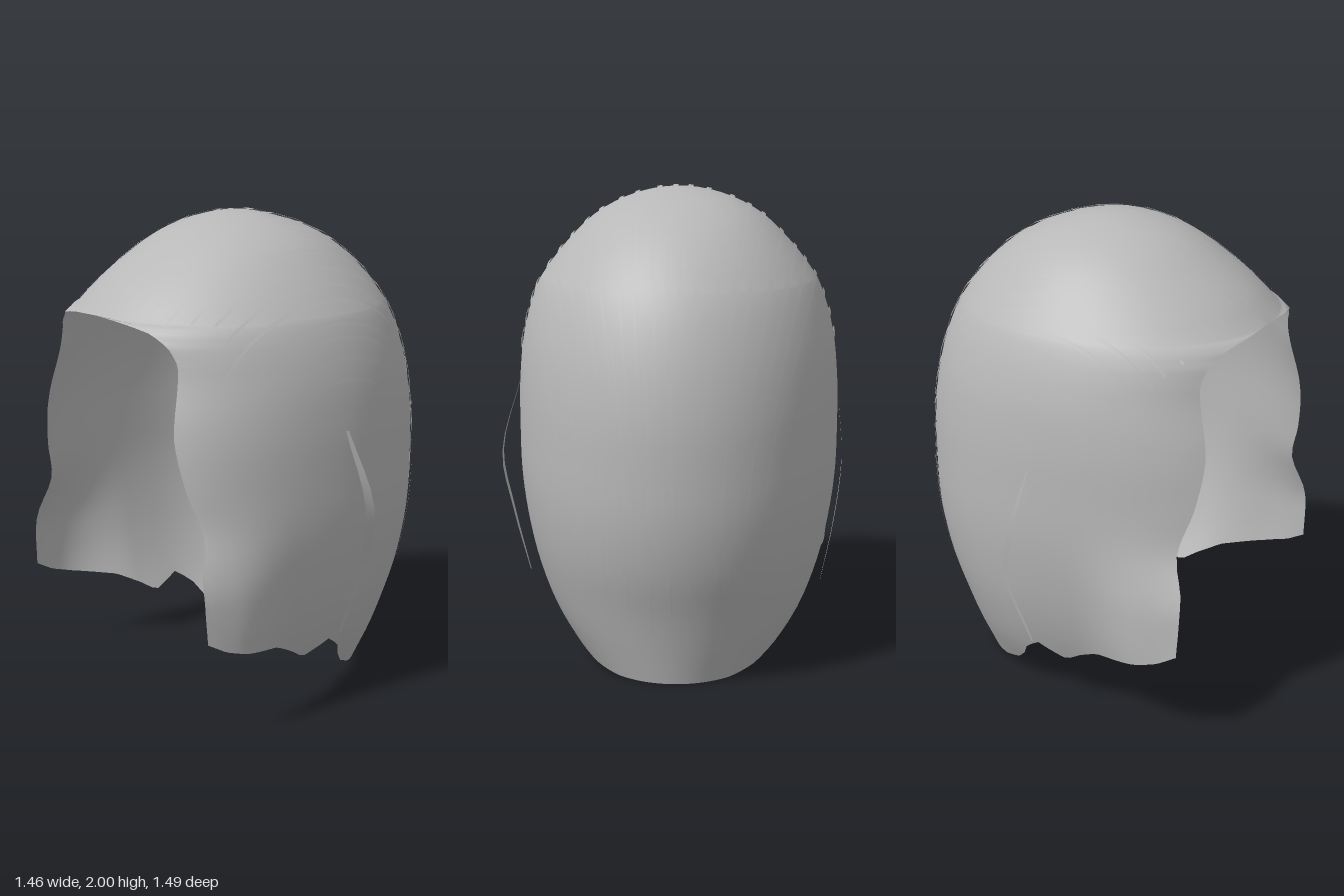
import * as THREE from 'three';

const CX = -0.03, ZC = 0.04;

// Interpolates a [height, value] table; the smooth form works in sqrt(depth below crown)
const depth = y => Math.sqrt(Math.max(0, 2 - y));
function linear(tab, y) {
  if (y >= tab[0][0]) return tab[0][1];
  for (let i = 1; i < tab.length; i++) {
    const [y0, a] = tab[i - 1], [y1, b] = tab[i];
    if (y >= y1) return a + (b - a) * (y0 - y) / (y0 - y1);
  }
  return tab[tab.length - 1][1];
}
function smooth(tab, y) {
  const n = tab.length, s = depth(y), S = i => depth(tab[i][0]), V = i => tab[i][1];
  let i = 0;
  while (i < n - 2 && s > S(i + 1)) i++;
  const slope = k => {
    const a = Math.max(0, k - 1), b = Math.min(n - 1, k + 1);
    return (V(b) - V(a)) / (S(b) - S(a));
  };
  const h = S(i + 1) - S(i), t = Math.min(1, (s - S(i)) / h), t2 = t * t, t3 = t2 * t;
  return (2 * t3 - 3 * t2 + 1) * V(i) + (t3 - 2 * t2 + t) * h * slope(i)
    + (3 * t2 - 2 * t3) * V(i + 1) + (t3 - t2) * h * slope(i + 1);
}

// Half width, back depth, front edge depth, front opening, side-lock flare and front roundness by height
const WIDTH = [[2, 0], [1.98, 0.15], [1.94, 0.26], [1.88, 0.36], [1.8, 0.445], [1.7, 0.53], [1.6, 0.595],
  [1.4, 0.655], [1.2, 0.677], [1, 0.68], [0.8, 0.675], [0.6, 0.65], [0.4, 0.605], [0.2, 0.53], [0, 0.41]];
const BACK = [[2, ZC], [1.98, -0.08], [1.93, -0.24], [1.82, -0.42], [1.62, -0.59], [1.4, -0.68],
  [1.15, -0.725], [0.9, -0.73], [0.7, -0.72], [0.5, -0.68], [0.3, -0.61], [0, -0.52]];
const FRONT = [[2, ZC], [1.985, 0.19], [1.94, 0.34], [1.84, 0.51], [1.75, 0.635], [1.68, 0.71], [1.63, 0.755],
  [1.6, 0.715], [1.55, 0.68], [1.48, 0.66], [1.4, 0.67], [1.2, 0.71], [1, 0.69], [0.82, 0.645], [0.65, 0.69], [0.4, 0.685], [0, 0.67]];
const OPEN = [[1.63, 0], [1.623, 0.18], [1.6, 0.3], [1.55, 0.38], [1.48, 0.42], [1.4, 0.43], [1.2, 0.46],
  [1, 0.51], [0.8, 0.57], [0.6, 0.63], [0.4, 0.64]];
const FLARE = [[0.95, 0], [0.7, 0.025], [0.5, 0.06], [0.35, 0.085]];
const ROUND = [[1.75, 1], [1.5, 0.93], [1.2, 0.9]];
// Lower hem height, from front to back
const HEM = [[0.69, 0.42], [0.6, 0.37], [0.5, 0.34], [0.3, 0.3], [0.2, 0.25], [0.12, 0.2], [0.05, 0.23],
  [0, 0.26], [-0.08, 0.21], [-0.13, 0.14], [-0.2, 0.08], [-0.35, 0.02], [-0.5, 0]];

function section(y) {
  const w = Math.max(0, smooth(WIDTH, y)), flare = linear(FLARE, y), p = linear(ROUND, y);
  const ratio = w > 0 ? Math.min(0.97, Math.max(0, linear(OPEN, y) - flare) / w) : 0;
  const end = Math.acos(Math.pow(ratio, 1 / p));
  const front = (smooth(FRONT, y) - ZC) / Math.pow(Math.sin(end), p);
  return { w, flare, p, end, front, back: ZC - smooth(BACK, y) };
}

// Point on the shell: u runs from the right front edge (-1) round the back to the left (+1)
function shellPoint(u, y) {
  const c = section(y), a = Math.abs(u), side = Math.sign(u);
  let x, z;
  if (a <= 0.5) {
    x = c.w * Math.sin(a * Math.PI);
    z = ZC - c.back * Math.cos(a * Math.PI);
  } else {
    const th = (a - 0.5) * 2 * c.end;
    z = ZC + c.front * Math.pow(Math.sin(th), c.p);
    x = c.w * Math.pow(Math.max(0, Math.cos(th)), c.p) + c.flare * THREE.MathUtils.smoothstep(z, 0.2, 0.55);
  }
  return new THREE.Vector3(CX + side * x, y, z);
}

function gridGeometry(cols, rows, at) {
  const pos = [], idx = [];
  for (let j = 0; j <= rows; j++) for (let i = 0; i <= cols; i++) pos.push(...at(i, j).toArray());
  for (let j = 0; j < rows; j++) for (let i = 0; i < cols; i++) {
    const a = j * (cols + 1) + i, c = a + cols + 1;
    idx.push(a, a + 1, c, a + 1, c + 1, c);
  }
  const g = new THREE.BufferGeometry();
  g.setAttribute('position', new THREE.Float32BufferAttribute(pos, 3));
  g.setIndex(idx);
  g.computeVertexNormals();
  return g;
}

function shellGeometry() {
  const cols = 96, crown = 14, lower = 34;
  const g = gridGeometry(cols, crown + lower, (i, j) => {
    const u = i / cols * 2 - 1;
    if (j <= crown) return shellPoint(u, 2 - 0.37 * (j / crown) ** 2);
    const hem = linear(HEM, shellPoint(u, 0.3).z);
    return shellPoint(u, 1.63 + (hem - 1.63) * ((j - crown) / lower) ** 1.5);
  });
  // Blend the normals at the crown and along the closed front seam
  const n = g.attributes.normal;
  for (let i = 0; i <= cols; i++) n.setXYZ(i, 0, 1, 0);
  for (let j = 1; j <= crown; j++) {
    const a = j * (cols + 1), v = new THREE.Vector3(0, n.getY(a), n.getZ(a)).normalize();
    n.setXYZ(a, v.x, v.y, v.z);
    n.setXYZ(a + cols, v.x, v.y, v.z);
  }
  return g;
}

// Shell surface along a ray from inside: lateral angle lat, pitch from front over the top
const HEART = new THREE.Vector3(CX, 0.9, 0);
function project(lat, pitch, lift) {
  const d = new THREE.Vector3(Math.sin(lat), Math.cos(lat) * Math.sin(pitch), Math.cos(lat) * Math.cos(pitch));
  let lo = 0, hi = 1.6;
  for (let k = 0; k < 24; k++) {
    const r = (lo + hi) / 2, q = d.clone().multiplyScalar(r).add(HEART);
    let inside = q.y < 2 && q.y > -0.2;
    if (inside) {
      const c = section(q.y), x = Math.abs(q.x - CX) / c.w, z = q.z - ZC;
      inside = z < 0 ? x * x + (z / c.back) ** 2 < 1 : x ** (2 / c.p) + (z / c.front) ** (2 / c.p) < 1;
    }
    if (inside) lo = r; else hi = r;
  }
  return d.multiplyScalar(lo + lift).add(HEART);
}

// Thin combed strand lying just over the shell
function strandGeometry(lat, from, to, width, drift) {
  const steps = 24;
  return gridGeometry(1, steps, (i, j) => {
    const t = j / steps, bulge = Math.sin(Math.PI * t), half = width * (0.35 + 0.65 * bulge) / 2;
    return project(lat * (1 - drift * t) + (i ? -half : half), from + (to - from) * t, 0.003 + 0.006 * bulge);
  });
}

// Loose lock through a few points, widened along z
function lockGeometry(points, width) {
  const curve = new THREE.CatmullRomCurve3(points.map(p => new THREE.Vector3(...p)));
  return gridGeometry(1, 12, (i, j) => {
    const p = curve.getPoint(j / 12);
    p.z += (i - 0.5) * width * Math.sin(Math.PI * (0.1 + 0.8 * j / 12));
    return p;
  });
}

export function createModel() {
  const group = new THREE.Group();
  group.name = 'hair';
  const grey = new THREE.MeshStandardMaterial({ color: 0xb8b8b8, side: THREE.DoubleSide });
  grey.name = 'hair grey';
  const add = (name, geometry) => {
    const m = new THREE.Mesh(geometry, grey);
    m.name = name;
    group.add(m);
  };
  add('hairShell', shellGeometry());

  let seed = 7;
  const rand = () => (seed = (seed * 16807) % 2147483647) / 2147483647;
  const rad = THREE.MathUtils.degToRad;
  for (let k = -12; k <= 12; k++) {
    const side = Math.abs(k) / 12;
    const lat = rad(k * 4.4 + rand() * 2);
    const from = rad(49 - 10 * side + rand() * 8), to = rad(226 - 62 * side ** 3 - rand() * 14);
    add('combedStrand', strandGeometry(lat, from, to, 0.024, 0.3 * (1 - side)));
    // Shorter strands over the back
    if (side < 0.8 && k % 2) add('backStrand', strandGeometry(lat + 0.04, rad(125 + rand() * 30), rad(215 + rand() * 14), 0.018, 0.25));
  }
  add('looseLockRight', lockGeometry([[-0.715, 1.1, 0.04], [-0.73, 0.85, -0.03], [-0.7, 0.6, -0.08], [-0.65, 0.3, 0.01]], 0.025));
  add('looseLockLeft', lockGeometry([[0.65, 1.18, 0.02], [0.725, 0.87, -0.04], [0.68, 0.62, -0.05], [0.62, 0.32, 0.02]], 0.05));
  return group;
}
